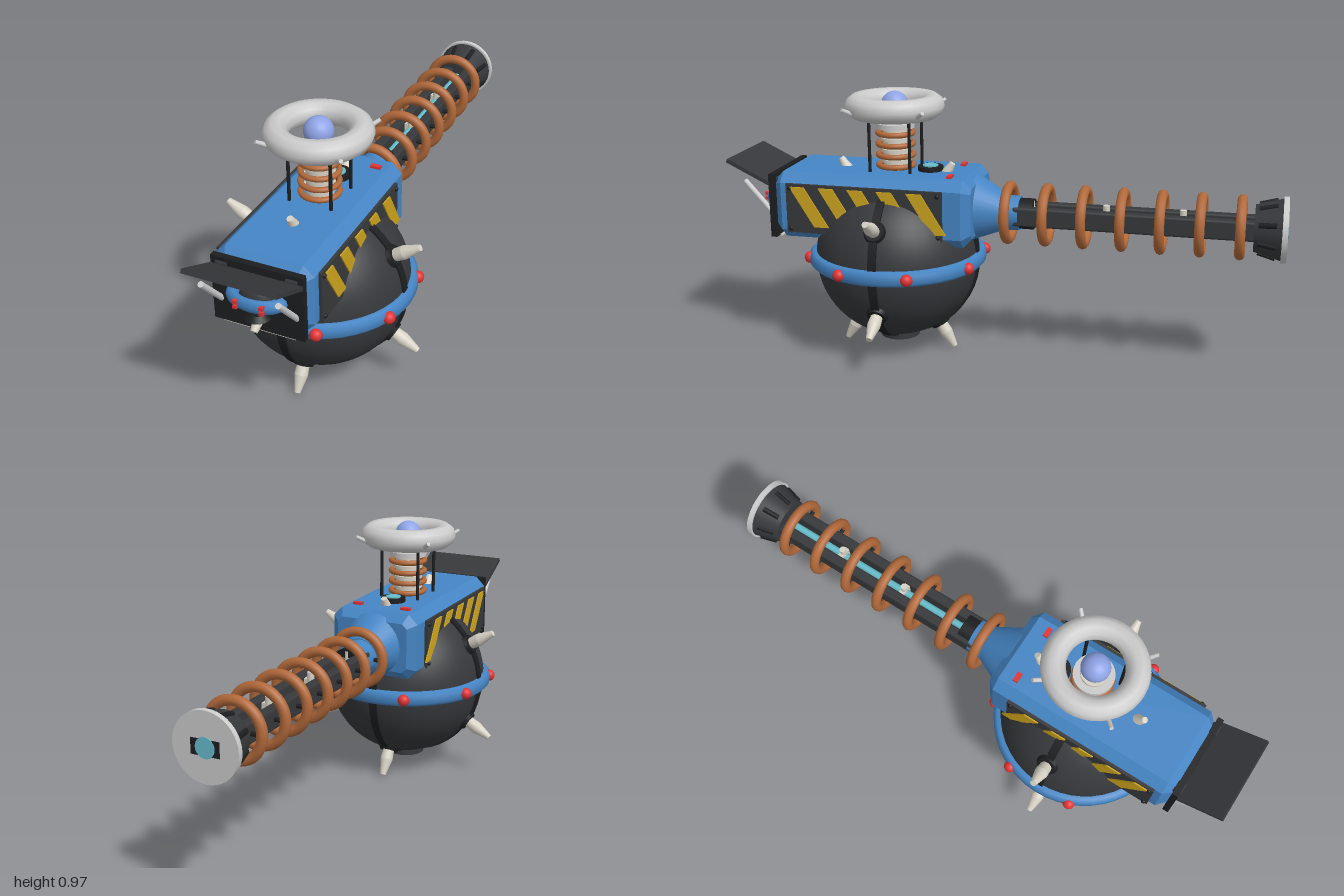
import * as THREE from 'three';
import { RoundedBoxGeometry } from 'three/addons/geometries/RoundedBoxGeometry.js';

const mat = (color) => new THREE.MeshStandardMaterial({ color });
const V = (x, y, z) => new THREE.Vector3(x, y, z);

export function createModel() {
  const model = new THREE.Group();
  const blue = mat(0x4585c4), dark = mat(0x36383b), black = mat(0x1d1e20), ivory = mat(0xd6d1c4);
  const grey = mat(0xcccccc), copper = mat(0xb2693a), yellow = mat(0xcda41e), red = mat(0xe23434);
  const cyan = mat(0x66bccb), violet = mat(0x8fa4e6);

  const add = (name, geo, material, x = 0, y = 0, z = 0, parent = model) => {
    const m = new THREE.Mesh(geo, material);
    m.name = name;
    m.position.set(x, y, z);
    parent.add(m);
    return m;
  };
  const box = (name, w, h, d, material, x, y, z) => add(name, new THREE.BoxGeometry(w, h, d), material, x, y, z);
  // Cylinder or cone from point a (radius ra) to point b (radius rb)
  const rod = (name, a, b, ra, rb, material, sides = 24) => {
    const m = add(name, new THREE.CylinderGeometry(rb, ra, a.distanceTo(b), sides), material);
    m.position.copy(a).add(b).multiplyScalar(0.5);
    m.quaternion.setFromUnitVectors(V(0, 1, 0), b.clone().sub(a).normalize());
    return m;
  };
  const ring = (name, R, r, material, x, y, z, flat = true) => {
    const m = add(name, new THREE.TorusGeometry(R, r, 10, 40), material, x, y, z);
    if (flat) m.rotation.x = Math.PI / 2;
    return m;
  };

  // Spherical tank with two crossed ribs
  const C = V(0, 0.365, 0.405);
  add('tankSphere', new THREE.SphereGeometry(0.303, 48, 32), dark, C.x, C.y, C.z);
  for (const turn of [0, Math.PI / 2]) {
    const rib = add('tankRib', new THREE.CylinderGeometry(0.31, 0.31, 0.03, 48), black, C.x, C.y, C.z);
    rib.rotation.set(Math.PI / 2, 0, turn);
  }

  // Equator band with a faceted section and round studs
  const band = [[0.295, -0.027], [0.315, -0.027], [0.327, -0.014], [0.327, 0.014], [0.315, 0.027], [0.295, 0.027]];
  const bandGeo = new THREE.LatheGeometry(band.map(([x, y]) => new THREE.Vector2(x, y)), 48);
  add('equatorBand', bandGeo, blue, C.x, C.y, C.z);
  for (let i = 0; i < 8; i++) {
    const a = Math.PI / 8 + (i * Math.PI) / 4;
    add('bandStud', new THREE.SphereGeometry(0.022, 16, 12), red, 0.325 * Math.cos(a), C.y, C.z + 0.325 * Math.sin(a));
  }

  // Spikes: a sideways pair low on the slope, a lengthwise pair steeper
  for (const s of [-1, 1]) for (const t of [-1, 1]) {
    for (const d of [V(s * 0.86, t * 0.51, 0), V(0, t * 0.857, s * 0.515)]) {
      const at = (k) => C.clone().addScaledVector(d, k);
      rod('spikeCollar', at(0.28), at(0.314), 0.05, 0.034, black);
      rod('spike', at(0.3), at(0.35), 0.021, 0.024, ivory);
      rod('spikePoint', at(0.35), at(0.413), 0.024, 0.011, ivory);
    }
  }

  // Drain cap below the tank
  rod('bottomCap', V(0, 0.045, C.z), V(0, 0.08, C.z), 0.072, 0.072, dark, 32);
  rod('bottomLamp', V(0, 0.038, C.z), V(0, 0.06, C.z), 0.034, 0.034, red);

  // Chamfered housing
  const w = 0.14, h = 0.0925, c = 0.018;
  const outline = new THREE.Shape([[w, -h + c], [w, h - c], [w - c, h], [c - w, h], [-w, h - c], [-w, c - h],
    [c - w, -h], [w - c, -h]].map(([x, y]) => new THREE.Vector2(x, y)));
  add('housing', new THREE.ExtrudeGeometry(outline, {
    depth: 0.67, bevelEnabled: true, bevelSegments: 1, bevelSize: 0.03, bevelThickness: 0.03,
  }), blue, 0, 0.5675, 0.12);

  // Striped side panels
  for (const s of [-1, 1]) {
    box('sidePanel', 0.014, 0.18, 0.58, dark, s * 0.174, 0.565, 0.475);
    for (let i = 0; i < 5; i++) {
      const z = 0.7 - i * 0.109;
      const stripe = new THREE.Shape([[z + 0.05, 0.645], [z - 0.005, 0.645], [z - 0.095, 0.5], [z - 0.04, 0.5]]
        .map(([a, b]) => new THREE.Vector2(-a, b)));
      const m = add('warningStripe', new THREE.ExtrudeGeometry(stripe, { depth: 0.006, bevelEnabled: false }), yellow,
        s > 0 ? 0.18 : -0.186);
      m.rotation.y = Math.PI / 2;
    }
    for (const z of [0.2, 0.75]) for (const y of [0.49, 0.64])
      add('panelBolt', new THREE.SphereGeometry(0.009, 10, 8), black, s * 0.181, y, z);
  }

  // Front plate, tilted visor and slanting side rods
  box('frontPlate', 0.315, 0.235, 0.022, black, 0, 0.562, 0.83);
  box('frontSill', 0.25, 0.006, 0.03, ivory, 0, 0.444, 0.825);
  const visor = box('visor', 0.315, 0.014, 0.178, dark, 0, 0.683, 0.92);
  visor.rotation.x = -0.45;
  for (const s of [-1, 1]) {
    rod('visorHinge', V(s * 0.1, 0.655, 0.83), V(s * 0.14, 0.655, 0.83), 0.016, 0.016, dark, 12);
    rod('frontRod', V(s * 0.13, 0.522, 0.835), V(s * 0.13, 0.645, 0.945), 0.01, 0.01, grey, 12);
  }

  // Small ringed globe set in the front plate
  const globe = add('frontGlobe', new THREE.SphereGeometry(0.058, 24, 16), dark, 0, 0.568, 0.845);
  globe.scale.z = 0.7;
  const globeRing = ring('frontGlobeRing', 0.08, 0.024, blue, 0, 0.568, 0.845);
  globeRing.scale.y = 0.55;
  for (const s of [-1, 1]) {
    for (const y of [0.559, 0.577]) box('frontGlobeLight', 0.014, 0.012, 0.02, red, s * 0.045, y, 0.895);
    rod('frontGlobeCap', V(0, 0.568 + s * 0.05, 0.845), V(0, 0.568 + s * 0.068, 0.845), 0.03, 0.045, black);
  }
  rod('frontNozzle', V(0, 0.49, 0.835), V(0, 0.458, 0.875), 0.02, 0.012, ivory);

  // Roof lamps and round gauge
  for (const s of [-1, 1]) box('roofLamp', 0.036, 0.014, 0.018, red, s * 0.097, 0.692, 0.175);
  rod('gaugeBody', V(0, 0.68, 0.275), V(0, 0.706, 0.275), 0.046, 0.046, black, 32);
  rod('gaugeFace', V(0, 0.7, 0.275), V(0, 0.71, 0.275), 0.028, 0.028, cyan, 32);

  // Coil tower with corner posts, halo and glowing ball
  rod('towerCore', V(0, 0.68, C.z), V(0, 0.87, C.z), 0.046, 0.046, ivory, 32);
  for (const y of [0.705, 0.743, 0.783, 0.823]) {
    ring('towerCoil', 0.064, 0.01, copper, 0, y, C.z);
    rod('towerDisc', V(0, y + 0.013, C.z), V(0, y + 0.024, C.z), 0.055, 0.055, ivory, 32);
  }
  rod('towerTopDisc', V(0, 0.842, C.z), V(0, 0.86, C.z), 0.07, 0.07, grey, 32);
  ring('halo', 0.138, 0.042, grey, 0, 0.922, C.z);
  add('haloBall', new THREE.SphereGeometry(0.05, 24, 16), violet, 0, 0.924, C.z);
  for (const s of [-1, 1]) for (const t of [-1, 1]) {
    rod('towerPost', V(s * 0.075, 0.68, C.z + t * 0.075), V(s * 0.075, 0.905, C.z + t * 0.075), 0.006, 0.006, black, 10);
    rod('haloPin', V(s * 0.112, 0.9, C.z + t * 0.112), V(s * 0.148, 0.925, C.z + t * 0.148), 0.009, 0.007, grey, 10);
  }

  // Neck joining the housing to the barrel
  const by = 0.548;
  rod('neckCone', V(0, 0.56, 0.115), V(0, by, 0), 0.125, 0.068, blue, 32);
  rod('neckSleeve', V(0, by, 0.02), V(0, by, -0.06), 0.066, 0.062, blue, 32);
  rod('neckCollar', V(0, by, -0.05), V(0, by, -0.11), 0.056, 0.056, black, 32);

  // Barrel: two rails around a glowing core, with clamps and coils
  for (const s of [-1, 1]) add('barrelRail', new RoundedBoxGeometry(0.038, 0.07, 0.86, 2, 0.008), dark, s * 0.04, by, -0.47);
  rod('barrelCore', V(0, by, -0.05), V(0, by, -0.9), 0.013, 0.013, cyan, 16);
  for (const z of [-0.1, -0.37, -0.64]) {
    rod('barrelClamp', V(0, by - 0.048, z), V(0, by + 0.048, z), 0.012, 0.012, ivory, 12);
    box('barrelSpacer', 0.11, 0.05, 0.02, ivory, 0, by, z);
  }
  for (let i = 0; i < 7; i++) {
    const z = -0.018 - i * 0.137;
    ring('barrelCoil', 0.097, 0.018, copper, 0, by, z, false);
    for (const s of [-1, 1]) rod('coilArm', V(s * 0.05, by, z), V(s * 0.09, by, z), 0.008, 0.008, black, 8);
  }

  // Muzzle with ribs, end disc and slot
  rod('muzzle', V(0, by, -0.885), V(0, by, -0.98), 0.082, 0.108, dark, 40);
  for (let i = 0; i < 8; i++) {
    const a = Math.PI / 8 + (i * Math.PI) / 4, x = Math.cos(a), y = Math.sin(a);
    rod('muzzleRib', V(x * 0.084, by + y * 0.084, -0.9), V(x * 0.1, by + y * 0.1, -0.96), 0.01, 0.01, black, 8);
  }
  rod('muzzleDisc', V(0, by, -0.978), V(0, by, -0.997), 0.115, 0.115, grey, 40);
  box('muzzleSlot', 0.1, 0.052, 0.01, black, 0, by, -0.9935);
  rod('muzzleLens', V(0, by, -0.98), V(0, by, -1), 0.034, 0.034, cyan, 24);

  return model;
}
